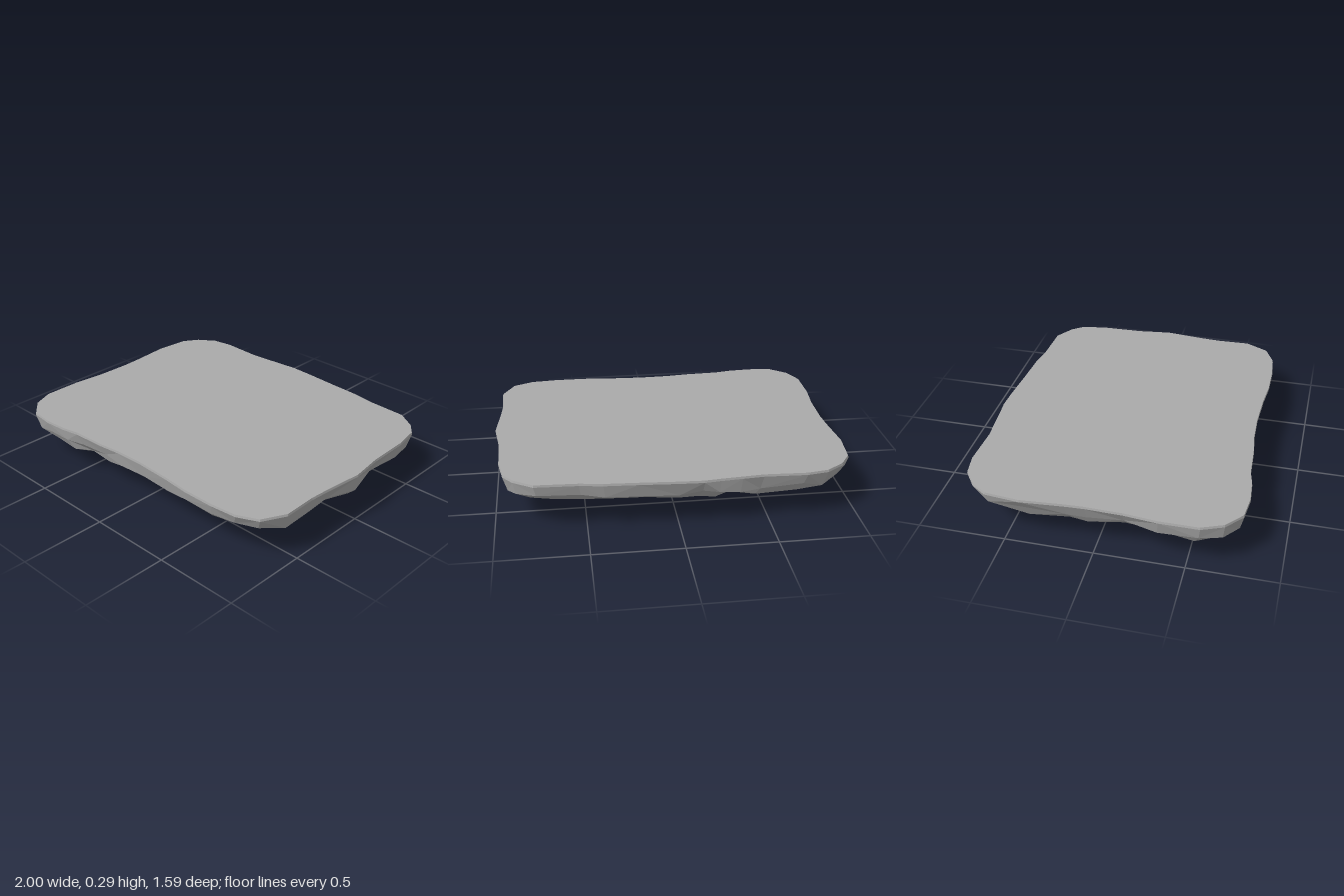
import * as THREE from 'three';

// Slab outline as x, z pairs, clockwise seen from above
const OUTLINE = [
  -1, -.4, -.98, -.6, -.92, -.69, -.82, -.76, -.7, -.78, -.46, -.77, -.34, -.78, -.22, -.79,
  -.13, -.8, 0, -.795, .22, -.78, .41, -.77, .54, -.75, .78, -.74, .89, -.67, .945, -.6,
  .97, -.45, .975, -.2, 1, 0, .975, .22, .965, .35, .97, .55, .9, .685, .78, .74,
  .62, .755, .43, .755, .27, .74, .05, .73, -.13, .735, -.26, .75, -.47, .76, -.57, .78,
  -.71, .79, -.85, .775, -.95, .69, -1, .57, -1, .35, -.98, .16, -.975, -.05, -.98, -.16,
];
const COUNT = OUTLINE.length / 2;
const TOP = 0.286;

// Ring of points: outline scaled inward, with optional seeded roughness
function ring(scale, y, roughIn = 0, roughUp = 0, seed = 1) {
  let s = seed * 7919;
  const rand = () => (s = (s * 16807) % 2147483647) / 2147483647;
  rand();
  return Array.from({ length: COUNT }, (_, i) => {
    const k = scale - roughIn * rand();
    return [OUTLINE[2 * i] * k, y + roughUp * rand(), OUTLINE[2 * i + 1] * k];
  });
}

function flatGeometry(triangles) {
  const g = new THREE.BufferGeometry();
  g.setAttribute('position', new THREE.Float32BufferAttribute(triangles.flat(2), 3));
  g.computeVertexNormals();
  return g;
}

// Faceted skin between stacked rings, from top to bottom
function loft(rings) {
  const tris = [];
  for (let r = 0; r < rings.length - 1; r++) {
    const a = rings[r], b = rings[r + 1];
    for (let i = 0; i < COUNT; i++) {
      const j = (i + 1) % COUNT;
      if ((i + r) % 2) tris.push([a[j], b[j], b[i]], [a[j], b[i], a[i]]);
      else tris.push([a[j], b[j], a[i]], [b[j], b[i], a[i]]);
    }
  }
  return tris;
}

// Triangles from a ring to one centre point
function fan(points, centre, up) {
  return points.map((p, i) => {
    const q = points[(i + 1) % COUNT];
    return up ? [centre, q, p] : [centre, p, q];
  });
}

export function createModel() {
  const group = new THREE.Group();
  group.name = 'rockPlatform';
  const stone = new THREE.MeshStandardMaterial({ color: 0xaaaaaa });
  stone.name = 'grey stone';

  const add = (name, triangles) => {
    const mesh = new THREE.Mesh(flatGeometry(triangles), stone);
    mesh.name = name;
    group.add(mesh);
  };

  const edge = ring(0.997, TOP);
  const lip = ring(1, TOP - 0.013);
  const shoulder = ring(0.988, 0.18, 0.025, 0.04, 3);
  const brow = ring(0.945, 0.137, 0.07, 0.03, 5);
  const belly = ring(0.71, 0.065, 0.06, 0.018, 8);
  const keel = ring(0.4, 0.024, 0.05, 0.01, 11);

  // Flat top and its thin bevelled rim
  add('topSurface', fan(edge, [0, TOP, 0], true));
  add('rim', loft([edge, lip]));
  // Rough sides and shallow pointed underside
  add('sides', loft([lip, shoulder, brow]));
  add('underside', [...loft([brow, belly, keel]), ...fan(keel, [0, 0, 0], false)]);
  return group;
}
